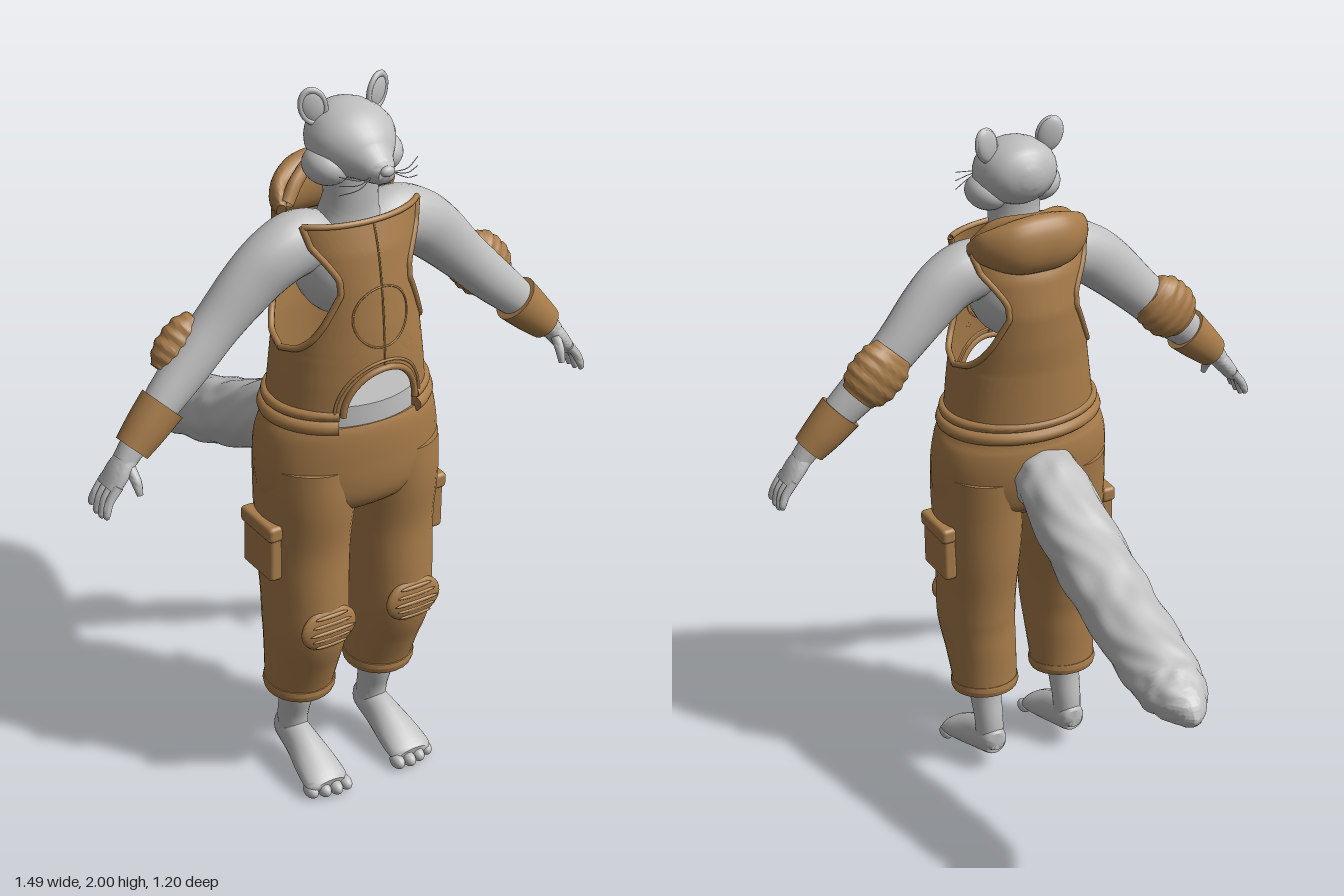
import * as THREE from 'three';
import { toCreasedNormals } from 'three/addons/utils/BufferGeometryUtils.js';
import { RoundedBoxGeometry } from 'three/addons/geometries/RoundedBoxGeometry.js';

const fur = new THREE.MeshStandardMaterial({ color: 0xc0c0c0, side: THREE.DoubleSide });
fur.name = 'grey fur';
const cloth = new THREE.MeshStandardMaterial({ color: 0xa87c4a, side: THREE.DoubleSide });
cloth.name = 'brown cloth';
const V = (x, y, z) => new THREE.Vector3(x, y, z);
const X = V(1, 0, 0), Y = V(0, 1, 0), Z = V(0, 0, 1);

// Piecewise linear lookup in rows of [key, value, ...]
function lookup(rows, k, col) {
  let i = 0;
  while (i < rows.length - 2 && k > rows[i + 1][0]) i++;
  const t = THREE.MathUtils.clamp((k - rows[i][0]) / (rows[i + 1][0] - rows[i][0]), 0, 1);
  return THREE.MathUtils.lerp(rows[i][col], rows[i + 1][col], t);
}

// Smooth closed skin through elliptical stations [x, y, z, radius along ref, other radius]
function loft(stations, ref = X, { steps = 24, sides = 24, bump = () => 1 } = {}) {
  const path = new THREE.CatmullRomCurve3(stations.map(s => V(s[0], s[1], s[2])), false, 'catmullrom');
  const size = new THREE.CatmullRomCurve3(stations.map(s => V(s[3], s[4], 0)), false, 'catmullrom');
  const pos = [], idx = [];
  for (let i = -1; i <= steps + 1; i++) {
    const t = THREE.MathUtils.clamp(i / steps, 0, 1), k = i < 0 || i > steps ? 0 : 1;
    const c = path.getPoint(t), r = size.getPoint(t), d = path.getTangent(t);
    const u = ref.clone().addScaledVector(d, -ref.dot(d)).normalize(), v = d.clone().cross(u);
    for (let j = 0; j < sides; j++) {
      const a = j / sides * Math.PI * 2, b = bump(t, a) * k;
      const p = c.clone().addScaledVector(u, Math.cos(a) * r.x * b).addScaledVector(v, Math.sin(a) * r.y * b);
      pos.push(p.x, p.y, p.z);
    }
  }
  for (let i = 0; i < steps + 2; i++) for (let j = 0; j < sides; j++) {
    const a = i * sides + j, b = i * sides + (j + 1) % sides;
    idx.push(a, b, a + sides, b, b + sides, a + sides);
  }
  return surface(pos, idx);
}
function surface(pos, idx) {
  const g = new THREE.BufferGeometry();
  g.setAttribute('position', new THREE.Float32BufferAttribute(pos, 3));
  g.setIndex(idx);
  return toCreasedNormals(g, 1);
}
const ball = (rx, ry, rz) => new THREE.SphereGeometry(1, 24, 16).scale(rx, ry, rz);
const cord = (pts, r, n = 48) => new THREE.TubeGeometry(new THREE.CatmullRomCurve3(pts), n, r, 8);

// Vest body: [y, half width, centre z, half depth] and panel half widths
const BODY = [[1.12, .222, .41, .18], [1.25, .207, .41, .18], [1.33, .197, .408, .178], [1.4, .187, .402, .178],
  [1.5, .18, .395, .172], [1.6, .19, .395, .152], [1.68, .2, .4, .12]];
const PANEL = [[1.12, .222], [1.25, .207], [1.325, .198], [1.345, .182], [1.37, .163], [1.41, .142], [1.46, .12], [1.5, .102],
  [1.54, .103], [1.58, .127], [1.62, .155], [1.68, .172]];
const TOP = 1.675;
function vestPoint(y, angle, dir, off = 0) {
  return V((lookup(BODY, y, 1) + off) * Math.sin(angle), y,
    lookup(BODY, y, 2) + dir * (lookup(BODY, y, 3) + off) * Math.cos(angle));
}
const panelAngle = y => Math.asin(Math.min(1, lookup(PANEL, y, 1) / lookup(BODY, y, 1)));
const onFront = (x, y) => vestPoint(y, Math.asin(x / lookup(BODY, y, 1)), 1, .001);
const archY = x => 1.17 + .12 * Math.sqrt(Math.max(0, 1 - (x / .108) ** 2));

// Front (dir 1) or back (dir -1) vest panel, with an arch cut in the front hem
function vestPanel(dir) {
  const pos = [], idx = [], nu = 72, nv = 40;
  for (let i = 0; i <= nv; i++) for (let j = 0; j <= nu; j++) {
    const s = j / nu * 2 - 1, x = .21 * Math.sin(s * Math.PI / 2);
    const low = dir > 0 ? archY(x) : 1.17, y = THREE.MathUtils.lerp(low, TOP, i / nv);
    pos.push(...vestPoint(y, s * panelAngle(y), dir).toArray());
  }
  for (let i = 0; i < nv; i++) for (let j = 0; j < nu; j++) {
    const a = i * (nu + 1) + j, b = a + 1, c = a + nu + 1, d = c + 1;
    if (dir > 0) idx.push(a, b, c, b, d, c); else idx.push(a, c, b, b, c, d);
  }
  return surface(pos, idx);
}

export function createModel() {
  const model = new THREE.Group();
  model.name = 'clothedRodent';
  const add = (name, geo, mat, p = [0, 0, 0], r = [0, 0, 0]) => {
    const m = new THREE.Mesh(geo, mat);
    m.name = name;
    m.position.set(...p);
    m.rotation.set(...r);
    model.add(m);
  };

  // Head, neck and trunk
  add('head', loft([[0, 1.865, .306, .025, .025], [0, 1.865, .325, .07, .06], [0, 1.865, .355, .1, .083], [0, 1.86, .4, .115, .092],
    [0, 1.85, .44, .113, .092], [0, 1.838, .48, .09, .076], [0, 1.826, .515, .06, .053], [0, 1.818, .55, .04, .036],
    [0, 1.818, .577, .024, .022]], X, { steps: 32 }), fur);
  add('nose', ball(.02, .014, .012), fur, [0, 1.828, .579]);
  add('neck', loft([[0, 1.58, .4, .12, .085], [0, 1.66, .41, .085, .065], [0, 1.73, .42, .074, .058], [0, 1.82, .42, .085, .065]]), fur);
  add('chest', ball(.145, .15, .118), fur, [0, 1.525, .405]);
  add('belly', loft([[0, 1.06, .41, .21, .165], [0, 1.13, .41, .21, .167], [0, 1.19, .41, .2, .165]], X, { sides: 40 }), fur);

  // Bushy tail with lumpy fur
  const lumps = (t, a) => 1 + .035 * Math.sin(a * 7 + Math.sin(t * 23) * 2) * Math.sin(t * 34 + a * 2) + .02 * Math.sin(a * 3 + t * 57);
  add('tail', loft([[0, 1.01, .28, .088, .08], [0, .985, .2, .1, .09], [0, .875, 0, .108, .094], [0, .785, -.2, .105, .094],
    [0, .715, -.4, .1, .09], [0, .692, -.5, .083, .07], [0, .675, -.57, .04, .04], [0, .67, -.597, .01, .012]],
  X, { steps: 90, sides: 48, bump: lumps }), fur);

  // Vest panels, seams and hem
  for (const [name, dir] of [['vestFront', 1], ['vestBack', -1]]) {
    add(name, vestPanel(dir), cloth);
    for (const s of [-1, 1]) {
      const edge = [];
      for (let i = 0; i <= 20; i++) {
        const y = 1.325 + (TOP - 1.325) * i / 20;
        edge.push(vestPoint(y, s * panelAngle(y), dir));
      }
      add('armholeEdge', cord(edge, .009), cloth);
    }
    const rim = [];
    for (let i = 0; i <= 16; i++) rim.push(vestPoint(TOP, (i / 8 - 1) * panelAngle(TOP), dir));
    add('necklineEdge', cord(rim, .008), cloth);
  }
  for (const [w, r] of [[.108, .009], [.128, .004]]) {
    const arch = [];
    for (let i = 0; i <= 24; i++) {
      const a = Math.PI * i / 24;
      arch.push(onFront(w * Math.cos(a), 1.17 + (w + .014) * Math.sin(a)));
    }
    add('archTrim', cord(arch, r), cloth);
  }
  const ring = [];
  for (let i = 0; i <= 40; i++) ring.push(onFront(.08 * Math.cos(i * Math.PI / 20), 1.43 + .08 * Math.sin(i * Math.PI / 20)));
  add('roundSeam', cord(ring, .0025, 80), cloth);
  add('centreSeam', cord([1.3, 1.4, 1.5, 1.6, TOP].map(y => onFront(0, y)), .0025), cloth);
  for (const [y, r, rx] of [[1.17, .014, .218], [1.138, .02, .222]]) {
    const hem = [];
    for (let i = 0; i <= 40; i++) {
      const a = .55 + (Math.PI * 2 - 1.1) * i / 40;
      hem.push([Math.sin(a) * rx, y, .41 + Math.cos(a) * .172, r, r]);
    }
    add('vestHem', loft(hem, Y, { steps: 80, sides: 12 }), cloth);
  }

  // Hood folded behind the neck
  add('hood', loft([[-.165, 1.675, .36, .02, .012], [-.14, 1.69, .31, .05, .027], [-.075, 1.695, .275, .075, .045], [0, 1.697, .268, .082, .048],
    [.075, 1.695, .275, .075, .045], [.14, 1.69, .31, .05, .027], [.165, 1.675, .36, .02, .012]], Y, { steps: 40 }), cloth);
  add('hoodRim', cord([V(-.15, 1.69, .36), V(-.1, 1.74, .335), V(0, 1.76, .285), V(.1, 1.74, .335), V(.15, 1.69, .36)], .018), cloth);

  // Trouser seat
  add('trouserSeat', loft([[0, 1.125, .41, .235, .17], [0, 1.09, .412, .252, .176], [0, 1.03, .412, .263, .177], [0, .96, .417, .263, .17],
    [0, .9, .42, .25, .152], [0, .86, .42, .2, .11]], X, { sides: 40 }), cloth);

  for (const s of [-1, 1]) {
    const side = s > 0 ? 'left' : 'right';
    const put = (name, geo, mat, p = [0, 0, 0], r = [0, 0, 0]) =>
      add(side + name, geo, mat, [p[0] * s, p[1], p[2]], [r[0], r[1] * s, r[2] * s]);
    const limb = (name, st, mat, ref, opt) => put(name, loft(st.map(q => [q[0] * s, ...q.slice(1)]), ref, opt), mat);

    // Face details
    put('Cheek', ball(.06, .05, .065), fur, [.078, 1.805, .425], [0, 0, .25]);
    put('Ear', ball(.034, .048, .013), fur, [.094, 1.95, .385], [0, .3, -.3]);
    put('EarRim', new THREE.TorusGeometry(.033, .007, 8, 28).scale(.95, 1.32, 1), fur, [.094, 1.95, .389], [0, .3, -.3]);
    put('Eye', ball(.017, .011, .01), fur, [.052, 1.872, .501], [0, .5, -.1]);
    put('EyeLid', new THREE.TorusGeometry(.02, .005, 8, 24).scale(1, .7, 1), fur, [.052, 1.872, .5], [0, .5, -.1]);
    for (let i = 0; i < 3; i++) {
      put('Whisker', cord([V(s * .03, 1.81, .555), V(s * .07, 1.812 - i * .012, .56), V(s * .115, 1.825 - i * .025, .54)], .0012, 8), fur);
    }

    // Arm, elbow pad and wrist band
    limb('Arm', [[.06, 1.59, .4, .07, .07], [.14, 1.6, .4, .078, .085], [.21, 1.575, .4, .074, .084], [.28, 1.52, .395, .064, .08],
      [.37, 1.43, .39, .057, .068], [.46, 1.34, .395, .053, .062], [.54, 1.265, .405, .046, .052], [.62, 1.185, .415, .037, .036],
      [.66, 1.14, .42, .034, .028]], fur, Z, { steps: 36 });
    limb('ElbowPad', [[.395, 1.425, .366, .038, .06], [.42, 1.4, .364, .05, .08], [.45, 1.37, .364, .054, .083], [.48, 1.34, .366, .05, .078],
      [.505, 1.315, .37, .036, .055]], cloth, Z, { steps: 40, bump: t => 1 + .03 * Math.sin(t * 32) });
    limb('WristBand', [[.54, 1.262, .408, .054, .066], [.59, 1.212, .412, .052, .058], [.635, 1.168, .417, .046, .048]], cloth, Z);

    // Hand with four fingers and a thumb
    limb('Palm', [[.645, 1.155, .42, .032, .026], [.675, 1.12, .42, .042, .025], [.705, 1.08, .42, .043, .02]], fur, Z);
    for (let i = 0; i < 4; i++) {
      const z = .387 + i * .023, k = [0, .012, .012, .004][i];
      limb('Finger', [[.695, 1.095, z, .012, .013], [.722, 1.06, z, .011, .012], [.733, 1.035 - k, z - .004 + i * .003, .01, .01],
        [.734, 1.022 - k, z - .004 + i * .003, .006, .006]], fur, Z, { steps: 10, sides: 10 });
    }
    limb('Thumb', [[.655, 1.13, .445, .014, .014], [.652, 1.1, .47, .013, .013], [.65, 1.07, .482, .008, .008]], fur, Z, { steps: 10, sides: 10 });

    // Trouser leg with knee patch and cargo pocket
    limb('TrouserLeg', [[.128, 1, .415, .128, .155], [.13, .9, .42, .128, .152], [.132, .75, .418, .122, .138], [.134, .6, .432, .113, .132],
      [.134, .5, .436, .11, .13], [.13, .4, .418, .102, .112], [.128, .31, .402, .096, .094], [.128, .272, .4, .094, .092]],
    cloth, X, { steps: 36, sides: 32 });
    limb('TrouserCuff', [[.128, .3, .402, .098, .096], [.128, .285, .401, .1, .098], [.128, .27, .4, .096, .094]], cloth, X);
    put('KneePatch', ball(.085, .065, .022), cloth, [.134, .535, .553]);
    for (let i = -2; i <= 2; i++) put('KneeStitch', ball(.07 - Math.abs(i) * .01, .006, .006), cloth, [.134, .535 + i * .022, .573 - Math.abs(i) * .003]);
    put('Pocket', new RoundedBoxGeometry(.04, .165, .14, 3, .012), cloth, [.252, .763, .415]);
    put('PocketFlap', new RoundedBoxGeometry(.044, .045, .152, 3, .012), cloth, [.256, .825, .415]);

    // Shin, foot and toes
    limb('Shin', [[.13, .34, .4, .05, .055], [.13, .24, .392, .046, .05], [.13, .16, .375, .042, .044], [.13, .08, .37, .04, .042]], fur, X);
    limb('Foot', [[.13, .1, .322, .025, .025], [.13, .1, .345, .04, .045], [.132, .082, .42, .046, .052], [.135, .055, .5, .06, .042],
      [.137, .037, .555, .063, .03], [.137, .032, .575, .05, .022]], fur, X);
    for (let i = 0; i < 4; i++) put('Toe', ball(.018, .02, .028), fur, [.087 + i * .033, .022, [.57, .575, .568, .555][i]]);
  }
  return model;
}
